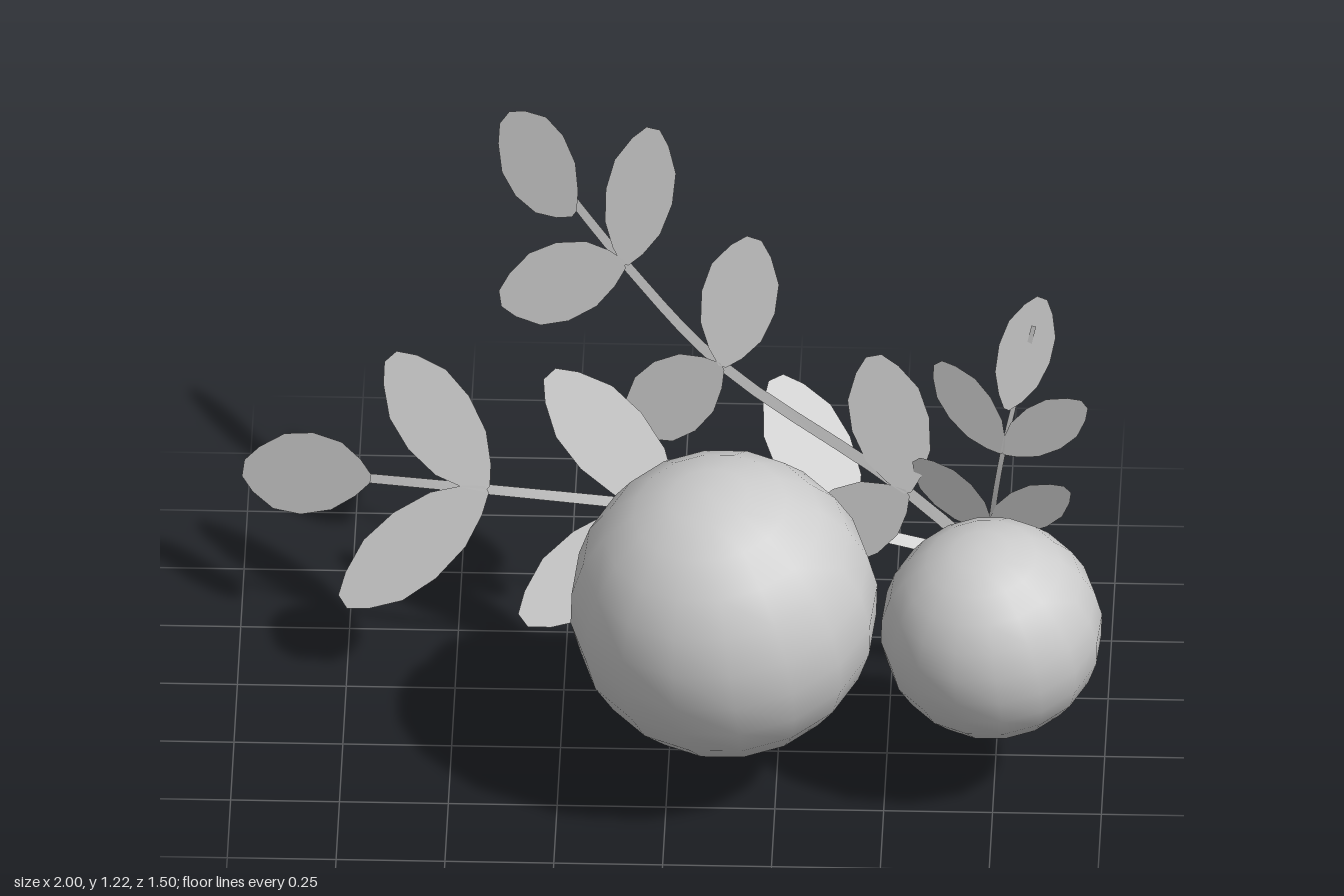
import * as THREE from 'three';

const material = new THREE.MeshStandardMaterial({ color: 0xcccccc, side: THREE.DoubleSide });
const V = (p) => new THREE.Vector3(...p);

// Strip of quads from a list of [left, right] point pairs
function strip(rows) {
  const positions = [], index = [];
  rows.forEach(([a, b], i) => {
    positions.push(...a.toArray(), ...b.toArray());
    if (i) index.push(2 * i - 2, 2 * i - 1, 2 * i, 2 * i - 1, 2 * i + 1, 2 * i);
  });
  const geometry = new THREE.BufferGeometry();
  geometry.setAttribute('position', new THREE.Float32BufferAttribute(positions, 3));
  geometry.setIndex(index);
  geometry.computeVertexNormals();
  return geometry;
}

function addMesh(group, geometry, name) {
  const mesh = new THREE.Mesh(geometry, material);
  mesh.name = name;
  group.add(mesh);
  return mesh;
}

// Leaf outline: position along the leaf, half width as a share of the widest
const OUTLINE = [[0, 0.1], [0.1, 0.45], [0.27, 0.83], [0.5, 1], [0.72, 0.92], [0.9, 0.55], [1, 0.2]];

function leaf(base, tip, normal, width) {
  const along = tip.clone().sub(base);
  const across = normal.clone().cross(along).normalize();
  return strip(OUTLINE.map(([t, w]) => {
    const p = base.clone().addScaledVector(along, t);
    const half = (w * width) / 2;
    return [p.clone().addScaledVector(across, half), p.clone().addScaledVector(across, -half)];
  }));
}

// Flat stem with leaf pairs at its nodes and one leaf at the end
function branch({ name, base, nodes, end, endLeaf, leafWidth, stemWidth }) {
  const group = new THREE.Group();
  group.name = name;
  const points = [base, ...nodes.map((n) => n.at), end].map(V);
  const curve = new THREE.CatmullRomCurve3(points);
  const last = points.length - 1;
  const chords = nodes.map((n) => V(n.up).sub(V(n.down)).normalize());
  const sides = [chords[0], ...chords, chords[chords.length - 1]];
  let normal;

  nodes.forEach((n, i) => {
    const at = V(n.at);
    normal = chords[i].clone().cross(curve.getTangent((i + 1) / last)).normalize();
    addMesh(group, leaf(at, V(n.up), normal, leafWidth), 'upperLeaf');
    addMesh(group, leaf(at, V(n.down), normal, leafWidth), 'lowerLeaf');
  });
  addMesh(group, leaf(V(endLeaf[0]), V(endLeaf[1]), normal, leafWidth), 'endLeaf');

  const rows = [], steps = 20;
  for (let s = 0; s <= steps; s++) {
    const u = s / steps, k = Math.min(Math.floor(u * last), last - 1);
    const tangent = curve.getTangent(u);
    const side = sides[k].clone().lerp(sides[k + 1], u * last - k);
    side.addScaledVector(tangent, -side.dot(tangent)).normalize();
    const half = stemWidth * (0.5 - 0.18 * u);
    const p = curve.getPoint(u);
    // Sit just behind the leaves
    const back = side.clone().cross(tangent);
    p.addScaledVector(back, back.z > 0 ? -0.005 : 0.005);
    rows.push([p.clone().addScaledVector(side, half), p.clone().addScaledVector(side, -half)]);
  }
  addMesh(group, strip(rows), 'stem');
  return group;
}

const BRANCHES = [
  {
    name: 'upperBranch', leafWidth: 0.185, stemWidth: 0.032,
    base: [0.91, 0.22, 0.07],
    nodes: [
      { at: [0.54, 0.57, 0.03], up: [0.46, 0.89, -0.05], down: [0.3, 0.4, 0.01] },
      { at: [0.11, 0.81, -0.12], up: [0.18, 1.09, -0.23], down: [-0.11, 0.62, -0.16] },
      { at: [-0.12, 0.95, -0.33], up: [-0.06, 1.22, -0.49], down: [-0.41, 0.79, -0.43] },
    ],
    end: [-0.36, 1.07, -0.67],
    endLeaf: [[-0.24, 1.01, -0.45], [-0.41, 1.08, -0.75]],
  },
  {
    name: 'sideBranch', leafWidth: 0.19, stemWidth: 0.032,
    base: [0.88, 0.28, -0.08],
    nodes: [
      { at: [0.41, 0.45, 0.0], up: [0.23, 0.72, -0.22], down: [0.23, 0.22, 0.19] },
      { at: [0.0, 0.5, 0.0], up: [-0.29, 0.72, -0.22], down: [-0.34, 0.27, 0.13] },
      { at: [-0.43, 0.48, -0.1], up: [-0.66, 0.66, -0.38], down: [-0.76, 0.2, -0.05] },
    ],
    end: [-0.91, 0.36, -0.36],
    endLeaf: [[-0.7, 0.44, -0.2], [-1, 0.32, -0.43]],
  },
  {
    name: 'smallBranch', leafWidth: 0.125, stemWidth: 0.017,
    base: [0.72, 0, -0.26],
    nodes: [
      { at: [0.72, 0.31, -0.02], up: [0.53, 0.31, -0.07], down: [0.88, 0.3, -0.03] },
      { at: [0.73, 0.48, 0.04], up: [0.56, 0.66, 0.03], down: [0.91, 0.63, 0.1] },
      { at: [0.76, 0.72, 0.09], up: [0.61, 0.93, 0.04], down: [0.95, 0.88, 0.13] },
    ],
    end: [0.83, 1.05, 0.07],
    endLeaf: [[0.77, 0.85, 0.11], [0.85, 1.11, 0.04]],
  },
];

export function createModel() {
  const model = new THREE.Group();
  model.name = 'berrySprig';

  // Two round berries
  [['largeBerry', 0.355, [0.13, 0.49, 0.395]], ['smallBerry', 0.256, [0.744, 0.43, 0.385]]].forEach(([name, r, p]) => {
    const berry = addMesh(model, new THREE.SphereGeometry(r, 16, 12), name);
    berry.position.set(...p);
    berry.rotation.set(0.2, 0.1, 0.1);
  });

  BRANCHES.forEach((b) => model.add(branch(b)));
  return model;
}
